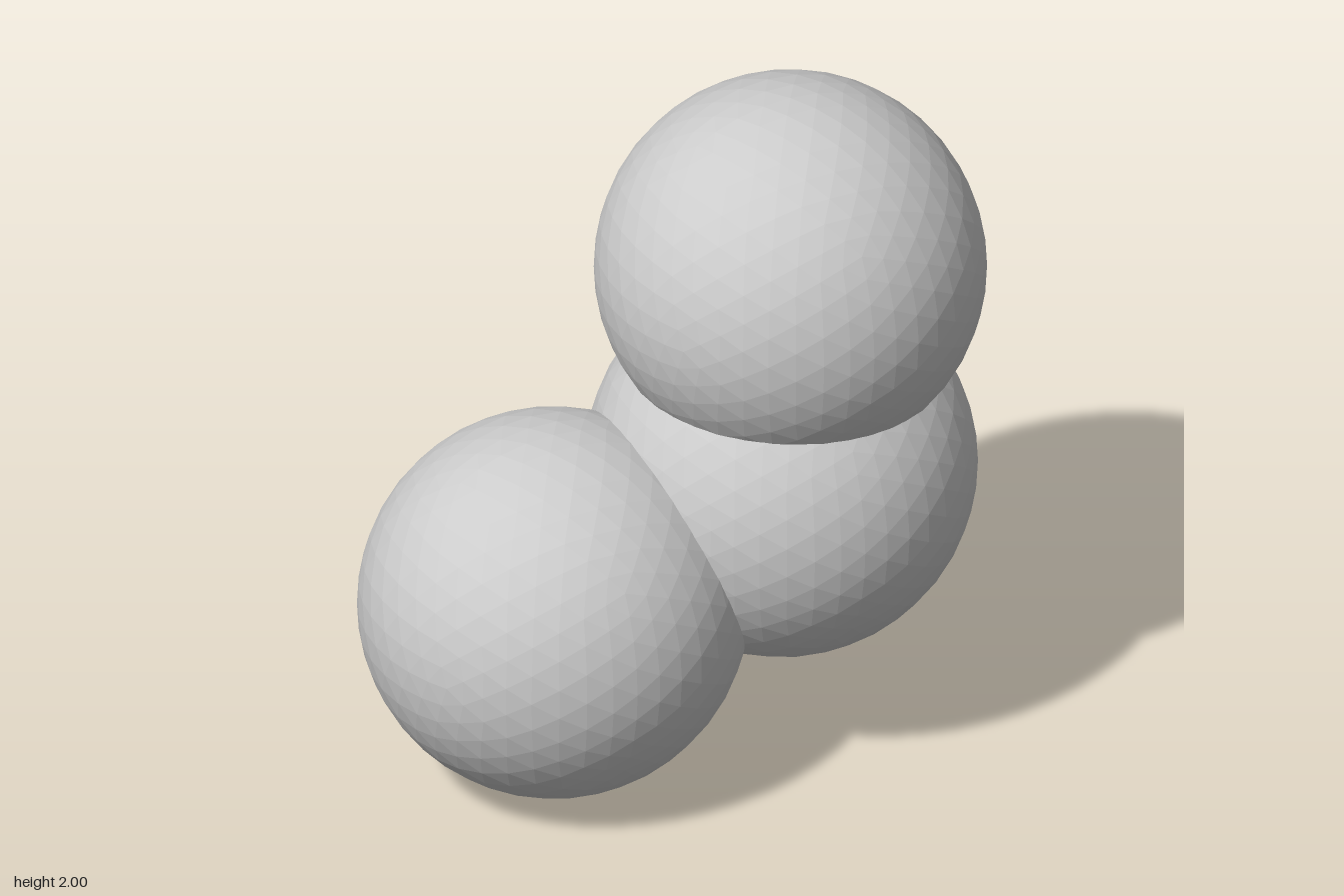
import * as THREE from 'three';

export function createModel() {
  const group = new THREE.Group();
  const material = new THREE.MeshStandardMaterial({ color: 0xcccccc, flatShading: true });

  // One faceted ball, shared by all three positions
  const ball = new THREE.IcosahedronGeometry(0.546, 7);

  // Chain of overlapping balls, from the lowest to the highest
  const balls = [
    ['lowerBall', -0.364, 0.547],
    ['middleBall', 0.335, 0.825],
    ['upperBall', 0.363, 1.454],
  ];
  for (const [name, x, y] of balls) {
    const mesh = new THREE.Mesh(ball, material);
    mesh.name = name;
    mesh.position.set(x, y, 0);
    group.add(mesh);
  }
  return group;
}
